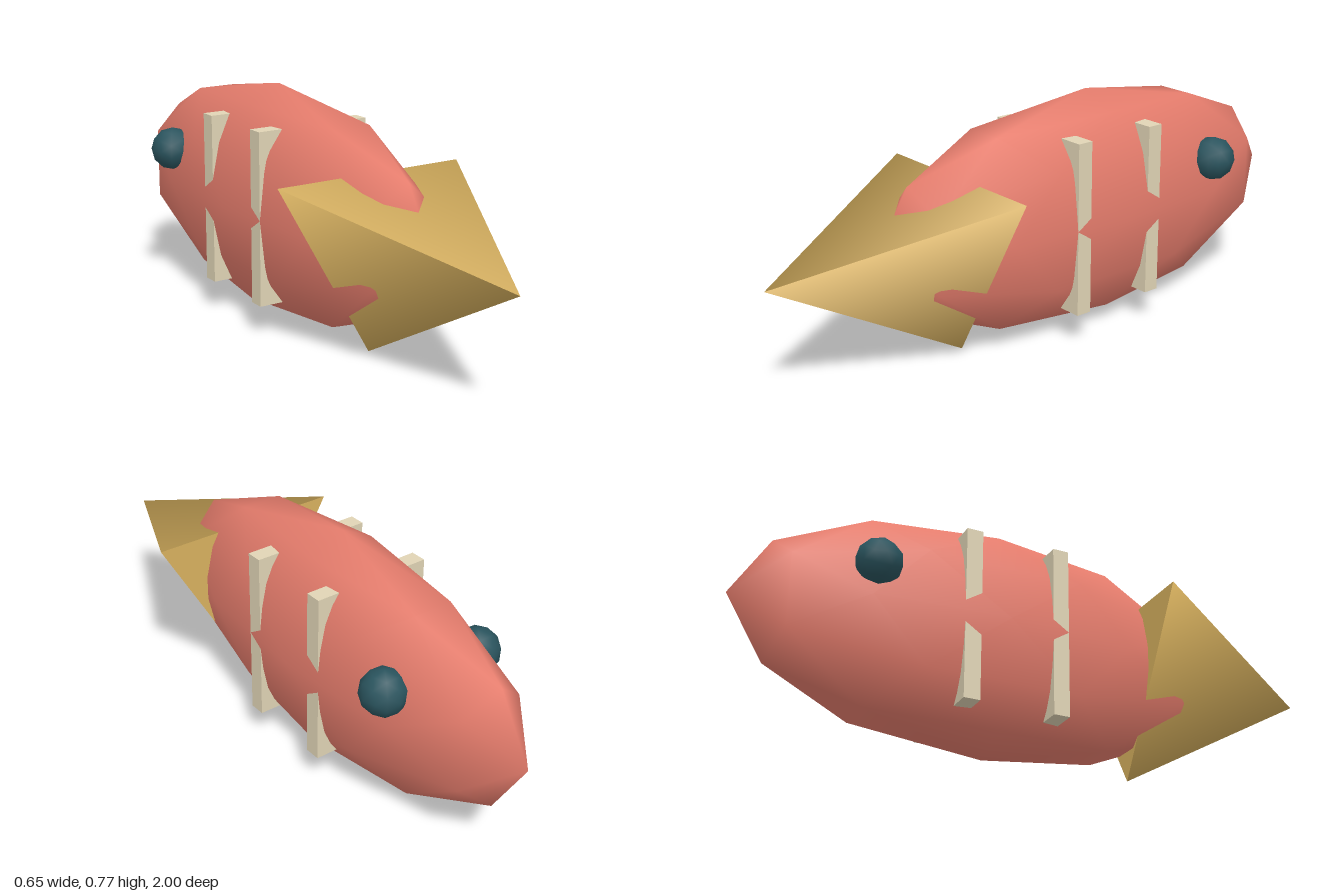
import * as THREE from 'three';

export function createModel() {
  const group = new THREE.Group();
  const midY = 0.3865;

  const add = (name, geometry, color, x, y, z) => {
    const mesh = new THREE.Mesh(geometry, new THREE.MeshStandardMaterial({ color }));
    mesh.name = name;
    mesh.position.set(x, y, z);
    group.add(mesh);
    return mesh;
  };

  // Body: a coarse ball stretched along z, narrow from side to side
  const body = add('body', new THREE.IcosahedronGeometry(1, 1), 0xe57c6c, 0, midY, -0.18);
  body.scale.set(0.215, 0.3865, 0.82);

  // Tail fin: three-sided cone pointing along +z, one corner down
  const tail = new THREE.ConeGeometry(0.377, 0.67, 3).rotateX(Math.PI / 2);
  add('tailFin', tail, 0xd9b25f, 0, 0.39, 0.665);

  // Stripes: slabs passing through the body, showing above and below its middle
  for (const z of [-0.005, -0.3]) {
    add('stripe', new THREE.BoxGeometry(0.4, 0.566, 0.053), 0xe0d4b5, 0, midY + 0.001, z);
  }

  // Eyes
  for (const side of [1, -1]) {
    add(side > 0 ? 'leftEye' : 'rightEye', new THREE.IcosahedronGeometry(0.074, 1), 0x2a545e,
      side * 0.176, 0.497, -0.597);
  }

  return group;
}
